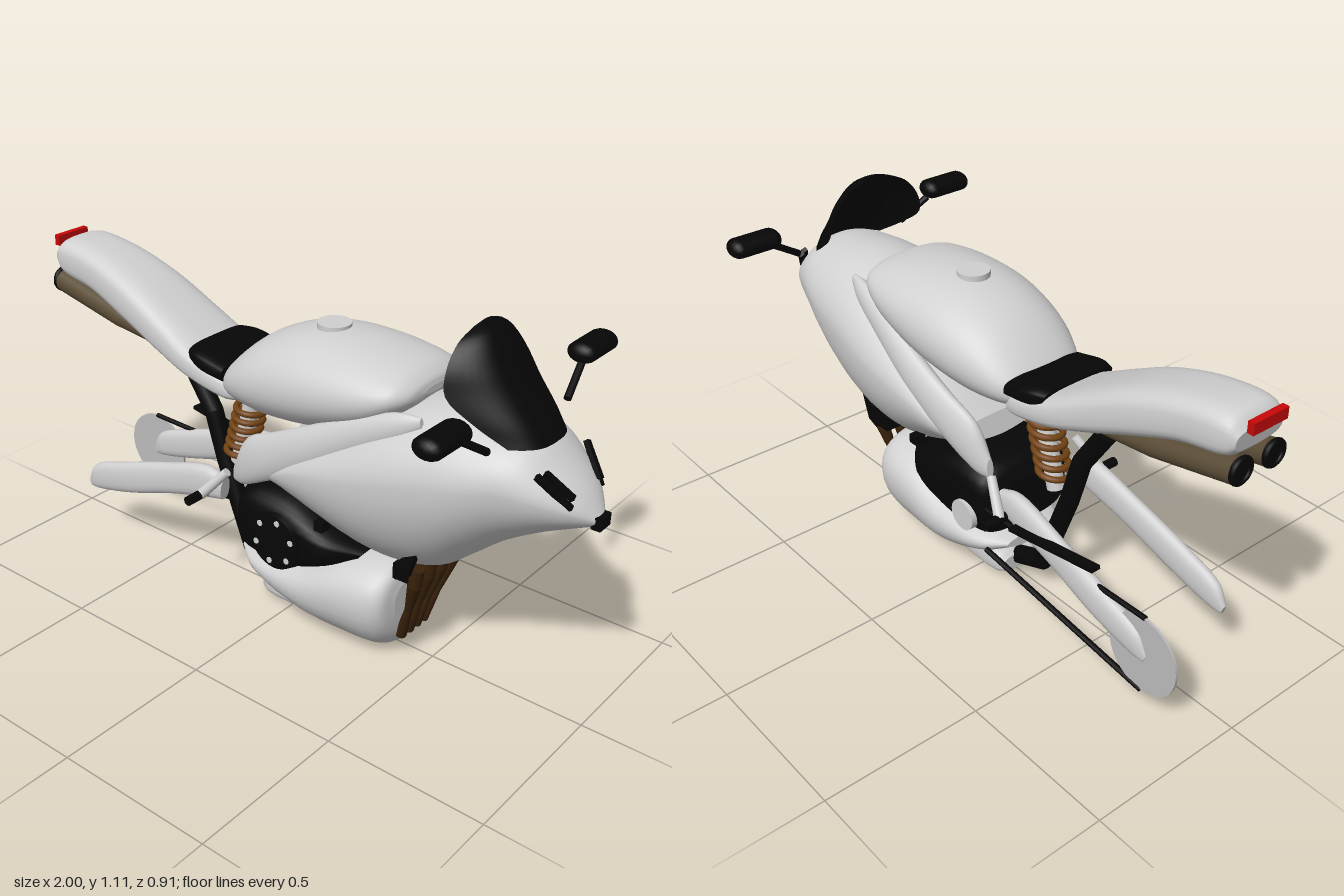
import * as THREE from 'three';

const mat = (name, color, side = THREE.FrontSide) => {
  const m = new THREE.MeshStandardMaterial({ color, side });
  m.name = name;
  return m;
};
const V = (x, y, z) => new THREE.Vector3(x, y, z);

// Smooth body from rear-to-front stations [topX, topY, bottomX, bottomY, halfWidth, centreZ].
// mid: height fraction of the widest line; eTop / eLow: squareness (below 1 is boxier).
function loft(stations, { mid = 0.5, eTop = 1, eLow = 1, side = 1, n = 32 } = {}) {
  const top = new THREE.CatmullRomCurve3(stations.map(s => V(s[0], s[1], s[4])));
  const low = new THREE.CatmullRomCurve3(stations.map(s => V(s[2], s[3], (s[5] || 0) * side)));
  const rows = (stations.length - 1) * 5;
  const pos = [], idx = [], rings = [];
  for (let i = 0; i <= rows; i++) {
    const t = top.getPoint(i / rows), b = low.getPoint(i / rows), ring = [];
    for (let j = 0; j < n; j++) {
      const a = j / n * Math.PI * 2, c = Math.cos(a), s = Math.sin(a);
      const e = c > 0 ? eTop : eLow;
      const u = Math.sign(c) * Math.abs(c) ** Math.min(e, 1);
      const h = mid + u * (c > 0 ? 1 - mid : mid);
      ring.push(b.x + (t.x - b.x) * h, b.y + (t.y - b.y) * h,
        b.z + t.z * Math.sign(s) * Math.abs(s) ** e);
    }
    rings.push(ring);
    pos.push(...ring);
  }
  for (let i = 0; i < rows; i++) for (let j = 0; j < n; j++) {
    const k = (j + 1) % n, a = i * n + j, b = i * n + k;
    idx.push(a, b, a + n, b, b + n, a + n);
  }
  // End caps with their own vertices
  for (const end of [0, rows]) {
    const base = pos.length / 3, c = [0, 0, 0];
    rings[end].forEach((v, i) => { c[i % 3] += v / n; });
    pos.push(...rings[end], ...c);
    for (let j = 0; j < n; j++) {
      const k = (j + 1) % n;
      if (end) idx.push(base + j, base + k, base + n);
      else idx.push(base + k, base + j, base + n);
    }
  }
  const g = new THREE.BufferGeometry();
  g.setAttribute('position', new THREE.Float32BufferAttribute(pos, 3));
  g.setIndex(idx);
  g.computeVertexNormals();
  return g;
}

export function createModel() {
  const root = new THREE.Group();
  const silver = mat('silver', 0xd0d0d0), black = mat('black', 0x060606, THREE.DoubleSide);
  const steel = mat('steel', 0xbcbcbc), bronze = mat('bronze', 0x38210a);
  const copper = mat('copper', 0x724214), smoke = mat('smoky metal', 0x5a4c36), red = mat('red', 0xc80808);

  const add = (name, geo, m, p = [0, 0, 0]) => {
    const mesh = new THREE.Mesh(geo, m);
    mesh.name = name;
    mesh.position.set(...p);
    root.add(mesh);
    return mesh;
  };
  // Straight round bar between two points
  const bar = (name, a, b, r0, r1, m, sides = 16) => {
    const p = V(...a), q = V(...b), d = q.clone().sub(p);
    const mesh = add(name, new THREE.CylinderGeometry(r1, r0, d.length(), sides), m);
    mesh.position.copy(p).add(q).multiplyScalar(0.5);
    mesh.quaternion.setFromUnitVectors(V(0, 1, 0), d.normalize());
    return mesh;
  };

  // Fairing and nose
  add('fairing', loft([
    [0.0, 0.55, -0.02, 0.48, 0.185], [0.15, 0.69, 0.11, 0.40, 0.225], [0.32, 0.80, 0.29, 0.325, 0.243],
    [0.45, 0.86, 0.42, 0.315, 0.243], [0.58, 0.887, 0.53, 0.345, 0.23], [0.70, 0.88, 0.625, 0.42, 0.212],
    [0.81, 0.86, 0.72, 0.50, 0.18], [0.88, 0.80, 0.83, 0.57, 0.143], [0.945, 0.735, 0.92, 0.615, 0.088],
    [0.99, 0.67, 0.985, 0.643, 0.022]], { mid: 0.64, eLow: 1.35, n: 48 }), silver);
  add('noseTip', new THREE.BoxGeometry(0.028, 0.036, 0.054), black, [0.986, 0.658, 0]);

  // Tank, filler cap, seat and tail
  add('tank', loft([
    [-0.23, 0.77, -0.23, 0.71, 0.08], [-0.19, 0.82, -0.2, 0.685, 0.14], [-0.09, 0.905, -0.1, 0.665, 0.187],
    [0.05, 0.96, 0.05, 0.67, 0.211], [0.2, 0.972, 0.2, 0.70, 0.214], [0.34, 0.958, 0.35, 0.76, 0.198],
    [0.42, 0.938, 0.43, 0.82, 0.166], [0.455, 0.912, 0.457, 0.85, 0.115], [0.464, 0.89, 0.464, 0.87, 0.05]],
    { eTop: 0.95, eLow: 0.95, n: 40 }), silver);
  add('fillerCap', new THREE.CylinderGeometry(0.05, 0.05, 0.02, 28), silver, [0.113, 0.971, 0]);
  add('seat', loft([
    [-0.35, 0.822, -0.33, 0.76, 0.13], [-0.3, 0.822, -0.28, 0.75, 0.145], [-0.2, 0.80, -0.19, 0.74, 0.145]],
    { eTop: 0.55, eLow: 0.55 }), black);
  add('tail', loft([
    [-0.975, 0.985, -0.965, 0.92, 0.085], [-0.94, 1.018, -0.94, 0.895, 0.1], [-0.8, 1.01, -0.8, 0.865, 0.11],
    [-0.62, 0.955, -0.65, 0.81, 0.125], [-0.46, 0.875, -0.5, 0.75, 0.135], [-0.33, 0.805, -0.35, 0.70, 0.142],
    [-0.2, 0.76, -0.18, 0.675, 0.13], [-0.17, 0.73, -0.17, 0.69, 0.1]], { eTop: 0.65, eLow: 0.65 }), silver);
  add('tailLight', new THREE.BoxGeometry(0.02, 0.034, 0.124), red, [-0.99, 1.0, 0]);

  // Windscreen, bent across its width: rows of [centreX, centreY, edgeX, edgeY, halfWidth]
  const rows = [[0.842, 0.84, 0.77, 0.84, 0.125], [0.81, 0.885, 0.68, 0.895, 0.155], [0.75, 0.96, 0.605, 0.955, 0.172],
    [0.70, 1.035, 0.595, 1.02, 0.158], [0.65, 1.1, 0.595, 1.08, 0.11], [0.605, 1.117, 0.6, 1.108, 0.045]];
  const centre = new THREE.CatmullRomCurve3(rows.map(r => V(r[0], r[1], 0)));
  const edge = new THREE.CatmullRomCurve3(rows.map(r => V(r[2], r[3], r[4])));
  const screen = new THREE.PlaneGeometry(1, 1, 24, 20), sp = screen.attributes.position;
  for (let i = 0; i < sp.count; i++) {
    const u = -sp.getX(i) * 2, v = sp.getY(i) + 0.5, c = centre.getPoint(v), e = edge.getPoint(v);
    const k = Math.abs(u) ** 3;
    sp.setXYZ(i, c.x + (e.x - c.x) * k, c.y + (e.y - c.y) * u * u, e.z * u);
  }
  screen.computeVertexNormals();
  add('windscreen', screen, black);

  // Engine with round covers and bolts
  add('engine', loft([
    [-0.15, 0.39, -0.15, 0.24, 0.13], [-0.11, 0.445, -0.12, 0.21, 0.17], [0.05, 0.45, 0.05, 0.2, 0.18],
    [0.2, 0.38, 0.2, 0.26, 0.17], [0.3, 0.33, 0.28, 0.3, 0.1]], { eTop: 0.55, eLow: 0.55 }), black);
  bar('clutchCover', [0.035, 0.31, 0.15], [0.035, 0.31, 0.187], 0.1, 0.09, black, 32);
  for (let i = 0; i < 6; i++) {
    const a = i * Math.PI / 3 + 0.3, x = 0.035 + 0.07 * Math.cos(a), y = 0.31 + 0.07 * Math.sin(a);
    bar('coverBolt', [x, y, 0.18], [x, y, 0.19], 0.01, 0.01, silver, 8);
  }
  bar('sprocketCover', [-0.055, 0.28, -0.14], [-0.055, 0.28, -0.19], 0.05, 0.05, silver, 24);

  // Belly pan, sump and radiator
  add('bellyPan', loft([
    [-0.165, 0.2, -0.165, 0.16, 0.1], [-0.09, 0.21, -0.08, 0.105, 0.155], [0.1, 0.25, 0.1, 0.025, 0.185],
    [0.25, 0.315, 0.25, 0.005, 0.19], [0.37, 0.33, 0.37, 0.012, 0.18], [0.41, 0.315, 0.41, 0.05, 0.155],
    [0.425, 0.27, 0.425, 0.1, 0.1]], { mid: 0.6, eTop: 0.85, eLow: 1.15 }), silver);
  add('sump', loft([[-0.11, 0.08, -0.11, 0.025, 0.07], [-0.08, 0.1, -0.08, 0.015, 0.085], [0.2, 0.1, 0.2, 0.014, 0.08]],
    { eTop: 0.55, eLow: 0.6 }), silver);
  add('radiator', new THREE.BoxGeometry(0.05, 0.05, 0.24), black, [0.452, 0.338, 0]);

  // Exhaust headers, waisted between flange and collector
  for (const k of [-1.5, -0.5, 0.5, 1.5]) {
    bar('headerTop', [0.497, 0.36, k * 0.065], [0.488, 0.3, k * 0.063], 0.021, 0.022, bronze);
    bar('headerPipe', [0.488, 0.302, k * 0.063], [0.456, 0.19, k * 0.049], 0.022, 0.012, bronze);
    bar('headerPipe', [0.456, 0.19, k * 0.049], [0.42, 0.08, k * 0.037], 0.012, 0.018, bronze);
  }

  // Rear frame with rounded joints, shock absorber and spring
  const beam = [[-0.47, 0.705, 0], [-0.37, 0.555, 0], [-0.325, 0.4, 0], [-0.215, 0.11, 0], [-0.1, 0.065, 0]];
  for (let i = 0; i < 4; i++) {
    bar('frameBeam', beam[i], beam[i + 1], 0.03, 0.03, black);
    if (i) add('frameJoint', new THREE.SphereGeometry(0.03, 16, 12), black, beam[i]);
  }
  bar('shockAbsorber', [-0.265, 0.41, 0], [-0.19, 0.69, 0], 0.028, 0.028, silver);
  const coil = [];
  for (let i = 0; i <= 72; i++) {
    const a = i / 12 * Math.PI * 2, t = i / 72;
    coil.push(V(-0.26 + 0.055 * t + 0.047 * Math.cos(a), 0.445 + 0.19 * t, 0.047 * Math.sin(a)));
  }
  add('spring', new THREE.TubeGeometry(new THREE.CatmullRomCurve3(coil), 200, 0.01, 10), copper);

  // Rear sprocket and chain on the -z side
  bar('rearSprocket', [-0.795, 0.22, -0.152], [-0.795, 0.22, -0.16], 0.125, 0.125, steel, 48);
  bar('chainTop', [-0.795, 0.345, -0.156], [-0.13, 0.328, -0.156], 0.008, 0.008, black, 8);
  bar('chainBottom', [-0.795, 0.093, -0.156], [-0.13, 0.178, -0.156], 0.009, 0.009, black, 8);
  const guard = add('chainGuard', new THREE.BoxGeometry(0.35, 0.012, 0.032), black, [-0.455, 0.392, -0.183]);
  guard.rotation.z = -0.17;

  // Vent outline beside the radiator
  const vent = new THREE.Shape([[0.45, 0.33], [0.49, 0.345], [0.52, 0.435], [0.465, 0.4]].map(p => new THREE.Vector2(...p)));

  // Paired parts
  for (const s of [1, -1]) {
    add('fairingBlade', loft([
      [-0.14, 0.51, -0.145, 0.445, 0.012, 0.15], [-0.08, 0.615, -0.1, 0.45, 0.028, 0.16], [0.03, 0.672, 0.0, 0.5, 0.034, 0.172],
      [0.17, 0.742, 0.17, 0.59, 0.038, 0.178], [0.33, 0.818, 0.34, 0.70, 0.034, 0.168],
      [0.46, 0.86, 0.47, 0.78, 0.024, 0.155], [0.52, 0.86, 0.525, 0.83, 0.008, 0.148]], { side: s, n: 20 }), silver);
    add('swingarm', loft([
      [-0.81, 0.225, -0.8, 0.195, 0.008, 0.155], [-0.775, 0.285, -0.76, 0.2, 0.02, 0.155], [-0.65, 0.335, -0.6, 0.24, 0.025, 0.155],
      [-0.45, 0.4, -0.42, 0.3, 0.025, 0.15], [-0.26, 0.45, -0.27, 0.34, 0.026, 0.145],
      [-0.19, 0.43, -0.2, 0.355, 0.02, 0.145]], { side: s, eTop: 0.8, eLow: 0.8, n: 20 }), silver);
    bar('footpeg', [-0.245, 0.38, s * 0.18], [-0.245, 0.38, s * 0.26], 0.015, 0.015, black);
    bar('footpegBracket', [-0.245, 0.38, s * 0.2], [-0.165, 0.47, s * 0.165], 0.017, 0.014, silver);

    const pod = add('mirror', new THREE.CapsuleGeometry(0.031, 0.113, 6, 16), black, [0.73, 0.953, s * 0.368]);
    pod.rotation.x = Math.PI / 2;
    pod.scale.x = 1.45;
    bar('mirrorStem', [0.755, 0.86, s * 0.2], [0.735, 0.925, s * 0.3], 0.011, 0.011, black, 10);

    // Slanted twin lamps
    for (const [a, b] of [[V(0.86, 0.797, s * 0.129), V(0.938, 0.71, s * 0.078)], [V(0.873, 0.802, s * 0.108), V(0.938, 0.735, s * 0.07)]]) {
      const lamp = add('headlampStrip', new THREE.BoxGeometry(0.014, a.distanceTo(b), 0.017), black);
      lamp.position.copy(a).add(b).multiplyScalar(0.5);
      lamp.quaternion.setFromUnitVectors(V(0, 1, 0), a.clone().sub(b).normalize());
    }

    add('sideVent', new THREE.ExtrudeGeometry(vent, { depth: 0.025, bevelEnabled: false }), black, [0, 0, s * 0.133 - 0.0125]);
    add('engineStud', new THREE.BoxGeometry(0.03, 0.03, 0.04), black, [0.2, 0.42, s * 0.16]);

    // Underseat silencers tapering into the tail, with dark end rings
    bar('silencer', [-0.97, 0.87, s * 0.06], [-0.7, 0.812, s * 0.065], 0.039, 0.036, smoke, 24);
    bar('silencerTaper', [-0.7, 0.812, s * 0.065], [-0.53, 0.775, s * 0.07], 0.036, 0.018, smoke, 24);
    const ring = add('silencerRing', new THREE.TorusGeometry(0.033, 0.009, 10, 28), black, [-0.975, 0.872, s * 0.06]);
    ring.rotation.y = Math.PI / 2;
    bar('silencerOutlet', [-0.976, 0.871, s * 0.06], [-0.968, 0.87, s * 0.06], 0.03, 0.03, black, 24);
  }
  return root;
}
